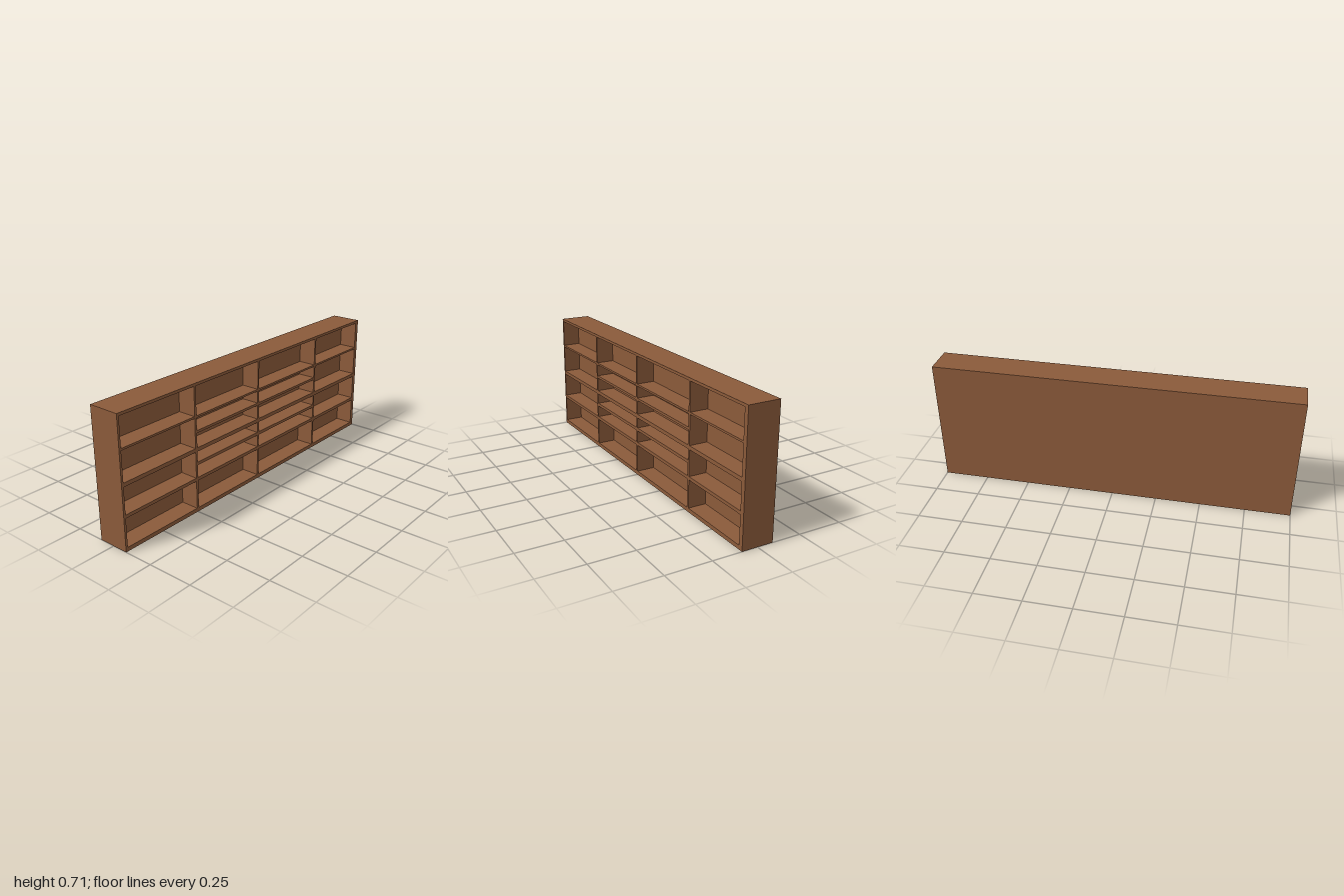
import * as THREE from 'three';

const FRONT = 0.088, BACK = -0.088, RECESS = -0.015, HEIGHT = 0.708;

// Bays along z (start, end) and compartments in y (floor, ceiling, light strip thickness)
const OUTER_ROWS = [
  [0.022, 0.178, 0.003], [0.196, 0.341, 0.003], [0.362, 0.525, 0.003], [0.536, 0.693, 0.003],
];
const INNER_ROWS = [
  [0.022, 0.178, 0.003], [0.196, 0.265, 0.008], [0.282, 0.341, 0.003],
  [0.362, 0.442, 0.008], [0.456, 0.525, 0.003], [0.536, 0.693, 0.003],
];
const BAYS = [
  { z: [0.506, 0.988], rows: OUTER_ROWS },
  { z: [0.008, 0.493], rows: INNER_ROWS },
  { z: [-0.527, -0.004], rows: INNER_ROWS },
  { z: [-0.975, -0.54], rows: OUTER_ROWS },
];

function rectangle(target, u0, u1, v0, v1) {
  target.moveTo(u0, v0);
  target.lineTo(u1, v0);
  target.lineTo(u1, v1);
  target.lineTo(u0, v1);
  target.closePath();
  return target;
}

export function createModel() {
  const group = new THREE.Group();
  group.name = 'wallShelf';
  const wood = new THREE.MeshStandardMaterial({ color: 0x8b5a3a });
  const grey = new THREE.MeshStandardMaterial({ color: 0xcccccc });

  // Every box is given by its limits along x, y and z
  const addBox = (name, material, x, y, z) => {
    const mesh = new THREE.Mesh(
      new THREE.BoxGeometry(x[1] - x[0], y[1] - y[0], z[1] - z[0]), material);
    mesh.position.set((x[0] + x[1]) / 2, (y[0] + y[1]) / 2, (z[0] + z[1]) / 2);
    mesh.name = name;
    group.add(mesh);
  };

  // Thick back of the cabinet
  addBox('backPanel', wood, [BACK, RECESS], [0, HEIGHT], [-1, 1]);

  // Frame, dividers and shelves as one slab with a hole per compartment
  const frame = rectangle(new THREE.Shape(), -1, 1, 0, HEIGHT);
  BAYS.forEach(({ z, rows }, bay) => rows.forEach(([floor, ceiling, thickness], row) => {
    frame.holes.push(rectangle(new THREE.Path(), -z[1], -z[0], floor, ceiling));
    // Light strip under the ceiling, at the rear of the compartment
    addBox(`lightStrip_${bay + 1}_${row + 1}`, grey,
      [RECESS, 0.04], [ceiling - thickness, ceiling], z);
  }));
  const geometry = new THREE.ExtrudeGeometry(frame, { depth: FRONT - RECESS, bevelEnabled: false });
  geometry.rotateY(Math.PI / 2);
  geometry.translate(RECESS, 0, 0);
  const shelves = new THREE.Mesh(geometry, wood);
  shelves.name = 'frameAndShelves';
  group.add(shelves);

  return group;
}
